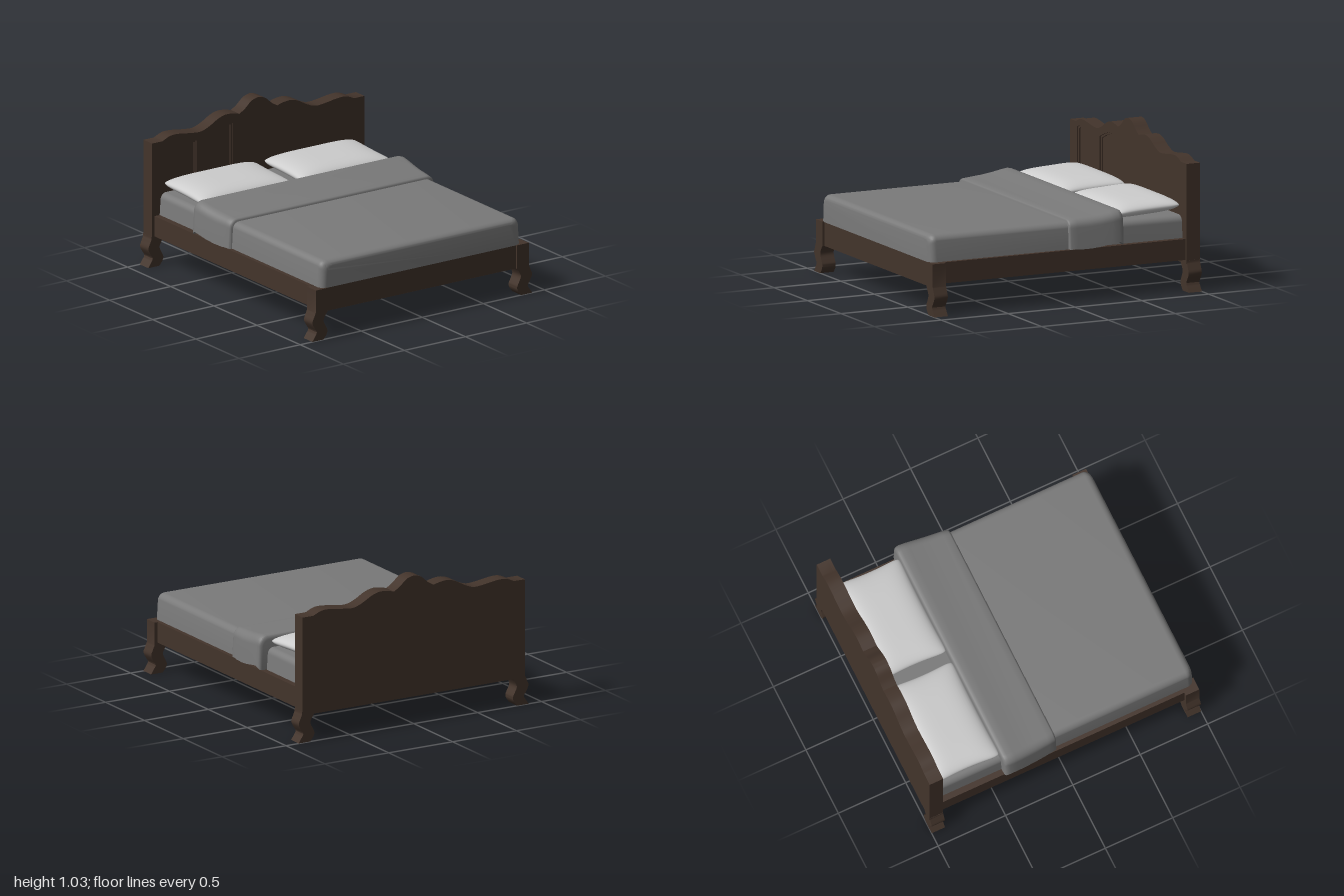
import * as THREE from 'three';
import { mergeGeometries, mergeVertices, toCreasedNormals } from 'three/addons/utils/BufferGeometryUtils.js';

const V = (p) => new THREE.Vector2(p[0], p[1]);
const spline = (pts, n) => new THREE.SplineCurve(pts.map(V)).getPoints(n);

export function createModel() {
  const bed = new THREE.Group();
  bed.name = 'bed';
  const material = (name, color) => {
    const m = new THREE.MeshStandardMaterial({ color });
    m.name = name;
    return m;
  };
  const wood = material('dark wood', 0x43342b);
  const cloth = material('grey bedding', 0x7a7a7a);
  const linen = material('pale pillow linen', 0xcccccc);

  const add = (name, geometry, mat) => {
    const mesh = new THREE.Mesh(geometry, mat);
    mesh.name = name;
    bed.add(mesh);
    return mesh;
  };
  const box = (name, x0, x1, y0, y1, z0, z1, mat) =>
    add(name, new THREE.BoxGeometry(x1 - x0, y1 - y0, z1 - z0), mat)
      .position.set((x0 + x1) / 2, (y0 + y1) / 2, (z0 + z1) / 2);
  const extrude = (name, shape, z0, z1, mat) => {
    const g = new THREE.ExtrudeGeometry(shape, { depth: z1 - z0, bevelEnabled: false });
    g.translate(0, 0, z0);
    return add(name, toCreasedNormals(g, 0.6), mat);
  };

  // Skin over sections [z, halfWidth, bottom, top, cornerRadius], z increasing;
  // the sides lean in slightly toward the top
  const loft = (name, sections, mat) => {
    const pos = [], idx = [], steps = 8, lean = 0.008;
    const n = 2 * (steps + 1) + 2;
    for (const [z, w, b, t, r] of sections) {
      pos.push(w, b, z);
      for (const side of [0, 1]) {
        for (let k = 0; k <= steps; k++) {
          const a = (k / steps + side) * Math.PI / 2;
          pos.push((side ? -1 : 1) * (w - lean - r) + r * Math.cos(a), t - r + r * Math.sin(a), z);
        }
      }
      pos.push(-w, b, z);
    }
    const last = (sections.length - 1) * n;
    for (let i = 0; i < last; i += n) {
      for (let j = 0; j < n; j++) {
        const a = i + j, c = i + (j + 1) % n;
        idx.push(a, c, c + n, a, c + n, a + n);
      }
    }
    for (let j = 1; j < n - 1; j++) {
      idx.push(0, j + 1, j, last, last + j, last + j + 1);
    }
    const g = new THREE.BufferGeometry();
    g.setAttribute('position', new THREE.Float32BufferAttribute(pos, 3));
    g.setIndex(idx);
    return add(name, toCreasedNormals(g, 0.7), mat);
  };

  // Headboard outline: crest in the middle, two waves, flat post tops
  const half = [
    ...spline([[0, 1.034], [0.055, 1.018], [0.11, 0.972], [0.155, 0.945]], 12),
    ...spline([[0.155, 0.945], [0.21, 0.958], [0.27, 0.961], [0.33, 0.943], [0.4, 0.905],
      [0.47, 0.881], [0.55, 0.886], [0.65, 0.9], [0.72, 0.899], [0.785, 0.873]], 36).slice(1),
    V([0.87, 0.873]), V([0.87, 0.19]),
  ];
  const mirrored = half.slice(1).reverse().map((p) => V([-p.x, p.y]));
  const boardShape = () => new THREE.Shape([...half, ...mirrored]);

  // Panel openings, shrunk by d at each moulding step
  const panelTops = [
    [[-0.135, 0.87], [-0.1, 0.892], [-0.05, 0.932], [0, 0.945], [0.05, 0.932], [0.1, 0.892], [0.135, 0.87]],
  ];
  for (const s of [1, -1]) {
    panelTops.push(
      [[0.21, 0.892], [0.27, 0.888], [0.35, 0.866], [0.43, 0.835]].map(([x, y]) => [s * x, y]),
      [[0.505, 0.825], [0.58, 0.836], [0.67, 0.853], [0.73, 0.853], [0.77, 0.838]].map(([x, y]) => [s * x, y]),
    );
  }
  const openBoard = (d) => {
    const shape = boardShape();
    for (const top of panelTops) {
      const a = top[0][0], b = top[top.length - 1][0];
      const mid = (a + b) / 2, k = 1 - d / Math.abs((b - a) / 2);
      const curve = spline(top, 16).map((p) => V([mid + (p.x - mid) * k, p.y - d]));
      const low = 0.42 + d;
      shape.holes.push(new THREE.Path([
        ...curve, V([curve[16].x, low]), V([curve[0].x, low]),
      ]));
    }
    return shape;
  };
  extrude('headboardBack', boardShape(), -1, -0.92, wood);
  extrude('headboardMoulding', openBoard(0.012), -0.92, -0.91, wood);
  extrude('headboardFrame', openBoard(0), -0.91, -0.9, wood);

  // Curved legs; the front pair rise into corner posts
  const outer = spline([[0.872, 0.2], [0.885, 0.17], [0.899, 0.13], [0.88, 0.09], [0.863, 0.06], [0.88, 0.03], [0.9, 0]], 18);
  const inner = spline([[0.81, 0], [0.785, 0.03], [0.777, 0.06], [0.79, 0.09], [0.808, 0.13], [0.795, 0.165], [0.777, 0.19]], 18);
  for (const s of [1, -1]) {
    const side = s > 0 ? 'left' : 'right';
    const leg = (top) => new THREE.Shape(
      [V([0.777, top]), V([0.872, top]), ...outer, ...inner].map((p) => V([s * p.x, p.y])));
    extrude(side + 'FrontLeg', leg(0.357), 0.9, 1, wood);
    extrude(side + 'BackLeg', leg(0.215), -0.999, -0.901, wood);
    const [x0, x1] = s > 0 ? [0.79, 0.85] : [-0.85, -0.79];
    box(side + 'SideRail', x0, x1, 0.215, 0.358, -0.9, 0.9, wood);
  }
  box('frontRail', -0.778, 0.778, 0.19, 0.357, 0.92, 0.985, wood);

  // Mattress, seen from below between the rails, and the cover over its front
  box('mattressBase', -0.795, 0.795, 0.345, 0.37, -0.905, 0.93, cloth);
  loft('mattress', [[-0.9, 0.808, 0.35, 0.51, 0.045], [-0.3, 0.808, 0.35, 0.51, 0.045]], cloth);
  const cover = [[-0.3, 0.822, 0.354, 0.54, 0.05]];
  for (let k = 0; k <= 8; k++) {
    const a = (k / 8) * Math.PI / 2, inset = 1 - Math.cos(a);
    cover.push([0.94 + 0.049 * Math.sin(a), 0.822 - 0.045 * inset, 0.354, 0.54 - 0.035 * inset, 0.05]);
  }
  loft('cover', cover, cloth);

  // Folded-back top of the cover, flaring toward the pillows
  loft('coverFold', [
    [-0.437, 0.845, 0.36, 0.568, 0.055],
    [-0.434, 0.86, 0.362, 0.582, 0.06],
    [-0.425, 0.87, 0.375, 0.592, 0.065],
    [-0.4, 0.875, 0.388, 0.596, 0.065],
    [-0.35, 0.873, 0.38, 0.589, 0.065],
    [-0.28, 0.867, 0.367, 0.578, 0.065],
    [-0.2, 0.859, 0.357, 0.569, 0.065],
    [-0.1, 0.849, 0.355, 0.562, 0.06],
    [-0.055, 0.844, 0.355, 0.559, 0.06],
    [-0.046, 0.84, 0.355, 0.555, 0.058],
    [-0.042, 0.832, 0.355, 0.547, 0.052],
  ], cloth);

  // Pillows: two puffed faces with pinched sides and full corners
  const pillowFace = (dir) => {
    const g = new THREE.PlaneGeometry(2, 2, 32, 24);
    g.rotateX(-dir * Math.PI / 2);
    g.deleteAttribute('normal');
    g.deleteAttribute('uv');
    const p = g.attributes.position;
    for (let i = 0; i < p.count; i++) {
      const u = Math.sin(p.getX(i) * Math.PI / 2), v = Math.sin(p.getZ(i) * Math.PI / 2);
      const puff = Math.sqrt(Math.max(0, (1 - u ** 4) * (1 - v ** 4)));
      const rim = 1 - 0.05 * (u * v) ** 8;
      p.setXYZ(i,
        0.378 * u * rim * (1 - 0.045 * (1 - v * v)),
        dir * 0.058 * puff - 0.012 * v,
        0.24 * v * rim * (1 - 0.03 * (1 - u * u)));
    }
    return g;
  };
  const pillow = mergeVertices(mergeGeometries([pillowFace(1), pillowFace(-1)]), 1e-4);
  pillow.computeVertexNormals();
  for (const s of [1, -1]) {
    add(s > 0 ? 'leftPillow' : 'rightPillow', pillow, linen).position.set(s * 0.408, 0.565, -0.667);
  }

  return bed;
}
